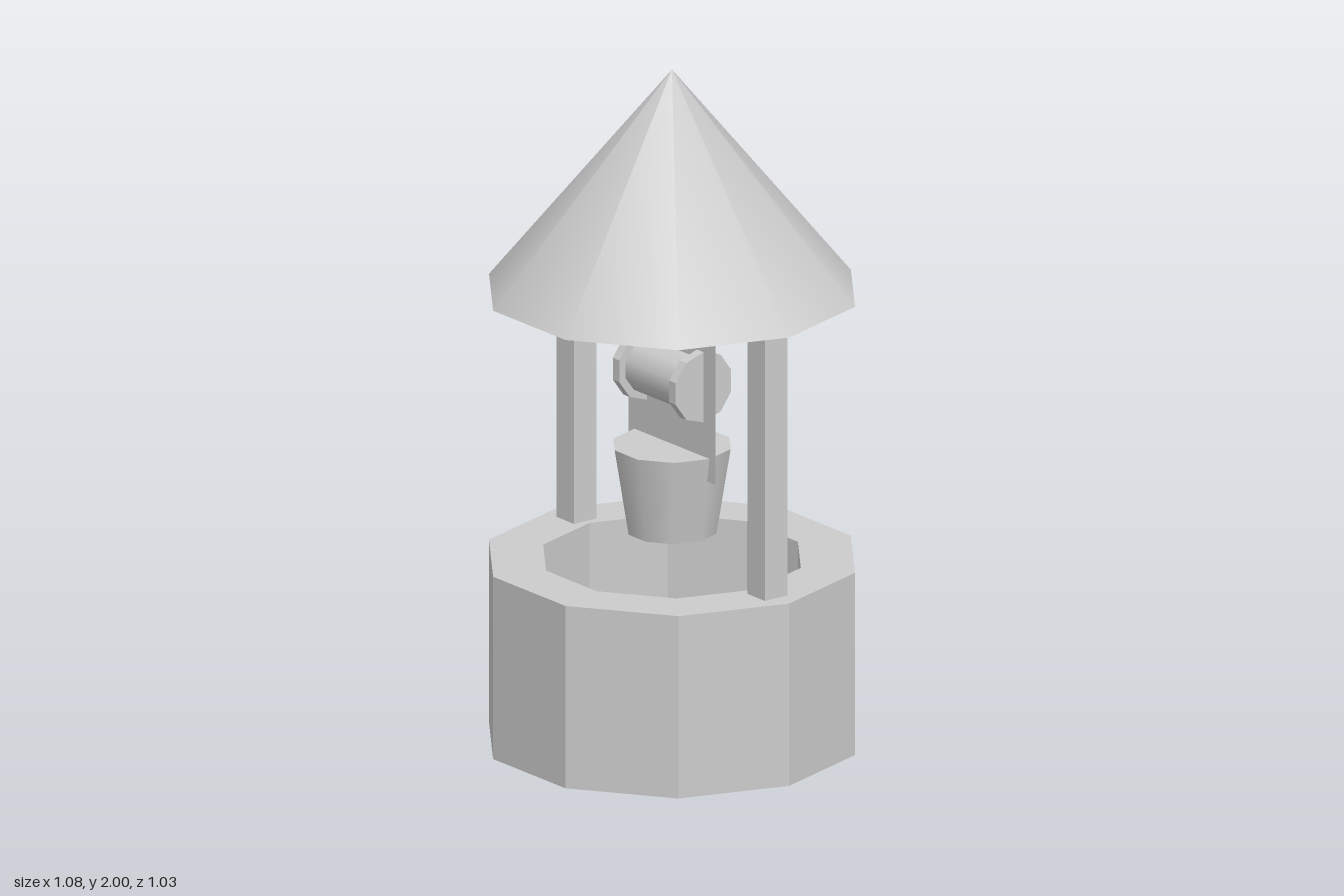
import * as THREE from 'three';

const SIDES = 10;
const flat = new THREE.MeshStandardMaterial({ color: 0xcccccc, flatShading: true, side: THREE.DoubleSide });
const smooth = new THREE.MeshStandardMaterial({ color: 0xcccccc });

function add(parent, name, geometry, material, x = 0, y = 0, z = 0) {
  const mesh = new THREE.Mesh(geometry, material);
  mesh.name = name;
  mesh.position.set(x, y, z);
  parent.add(mesh);
  return mesh;
}

// Ten-sided drum with a corner on the x axis
const drum = (top, bottom, height) =>
  new THREE.CylinderGeometry(top, bottom, height, SIDES, 1, false, Math.PI / 2);

export function createModel() {
  const well = new THREE.Group();
  well.name = 'well';

  // Hollow ring wall, open underneath
  const profile = [[0.54, 0], [0.54, 0.545], [0.38, 0.545], [0.38, 0]]
    .map(([r, y]) => new THREE.Vector2(r, y));
  add(well, 'wall', new THREE.LatheGeometry(profile, SIDES, Math.PI / 2), flat);

  // Roof posts
  for (const side of [1, -1]) {
    add(well, side > 0 ? 'leftPost' : 'rightPost',
      new THREE.BoxGeometry(0.08, 0.795, 0.08), flat, side * 0.44, 0.9425, 0);
  }

  // Conical roof with a closed underside
  add(well, 'roof', drum(0, 0.54, 0.66), smooth, 0, 1.67, 0);

  // Thin hanging sheet between spool and bucket
  add(well, 'ropeSheet', new THREE.PlaneGeometry(0.4, 0.53), flat, 0, 1.075, 0);

  // Spool lying along x, with a flange at each end
  const spool = new THREE.Group();
  spool.name = 'spool';
  spool.position.y = 1.088;
  spool.rotation.z = Math.PI / 2;
  well.add(spool);
  add(spool, 'barrel', drum(0.081, 0.081, 0.24), smooth);
  for (const side of [1, -1]) {
    add(spool, 'flange', drum(0.105, 0.105, 0.03), flat, 0, side * 0.13, 0);
  }

  // Tapered bucket
  add(well, 'bucket', drum(0.173, 0.131, 0.257), smooth, 0, 0.7525, 0);

  return well;
}
